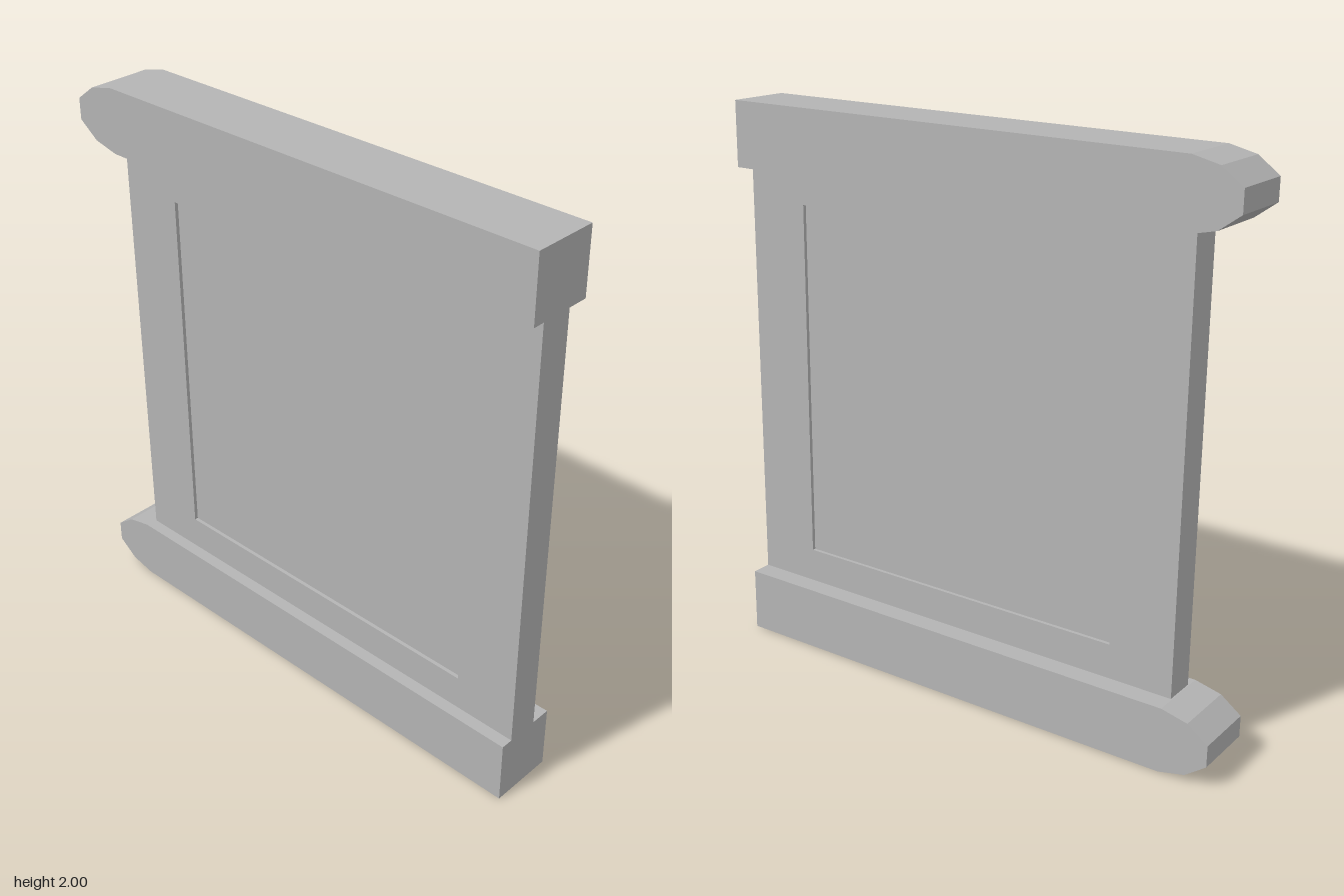
import * as THREE from 'three';

// Extrudes a side profile (u = -z, v = y) symmetrically along x
function sideExtrude(shape, width) {
  const g = new THREE.ExtrudeGeometry(shape, { depth: width, bevelEnabled: false });
  g.translate(0, 0, -width / 2);
  g.rotateY(Math.PI / 2);
  return g;
}

const polygon = (pts) => pts.map(([u, v]) => new THREE.Vector2(u, v));
const rect = (u0, u1, v0, v1) => polygon([[u0, v0], [u1, v0], [u1, v1], [u0, v1]]);

export function createModel() {
  const model = new THREE.Group();
  model.name = 'panelWithRails';
  const stone = new THREE.MeshStandardMaterial({ color: 0xb4b4b4 });
  stone.name = 'plain grey';

  // Everything leans one degree about its middle
  const leaning = new THREE.Group();
  leaning.name = 'leaningBody';
  leaning.position.y = 1;
  leaning.rotation.z = THREE.MathUtils.degToRad(1);
  model.add(leaning);

  const add = (name, geometry, x, y) => {
    const mesh = new THREE.Mesh(geometry, stone);
    mesh.name = name;
    mesh.position.set(x, y, 0);
    leaning.add(mesh);
  };

  // Rails: square at the front, faceted round nose at the back
  const h = 0.115;
  const rail = new THREE.Shape(polygon([
    [-0.96, -h], [0.79, -h], [0.885, -0.093], [0.96, -0.038],
    [0.96, 0.038], [0.885, 0.093], [0.79, h], [-0.96, h],
  ]));
  const railGeometry = sideExtrude(rail, 0.233);
  for (const [name, side] of [['topRail', 1], ['bottomRail', -1]]) {
    add(name, railGeometry, 0, side * (0.998 - h));
  }

  // Frame with a rectangular opening, reaching just to the rails
  const thickness = 0.116, recess = 0.013, offset = -0.015;
  const frame = new THREE.Shape(rect(-0.96, 0.785, -0.768, 0.768));
  frame.holes.push(new THREE.Path(rect(-0.73, 0.55, -0.645, 0.652).reverse()));
  add('panelFrame', sideExtrude(frame, thickness), offset, 0);

  // Infill set back from the frame on both faces
  const infill = new THREE.Shape(rect(-0.73, 0.55, -0.645, 0.652));
  add('recessedPanel', sideExtrude(infill, thickness - 2 * recess), offset, 0);

  return model;
}
